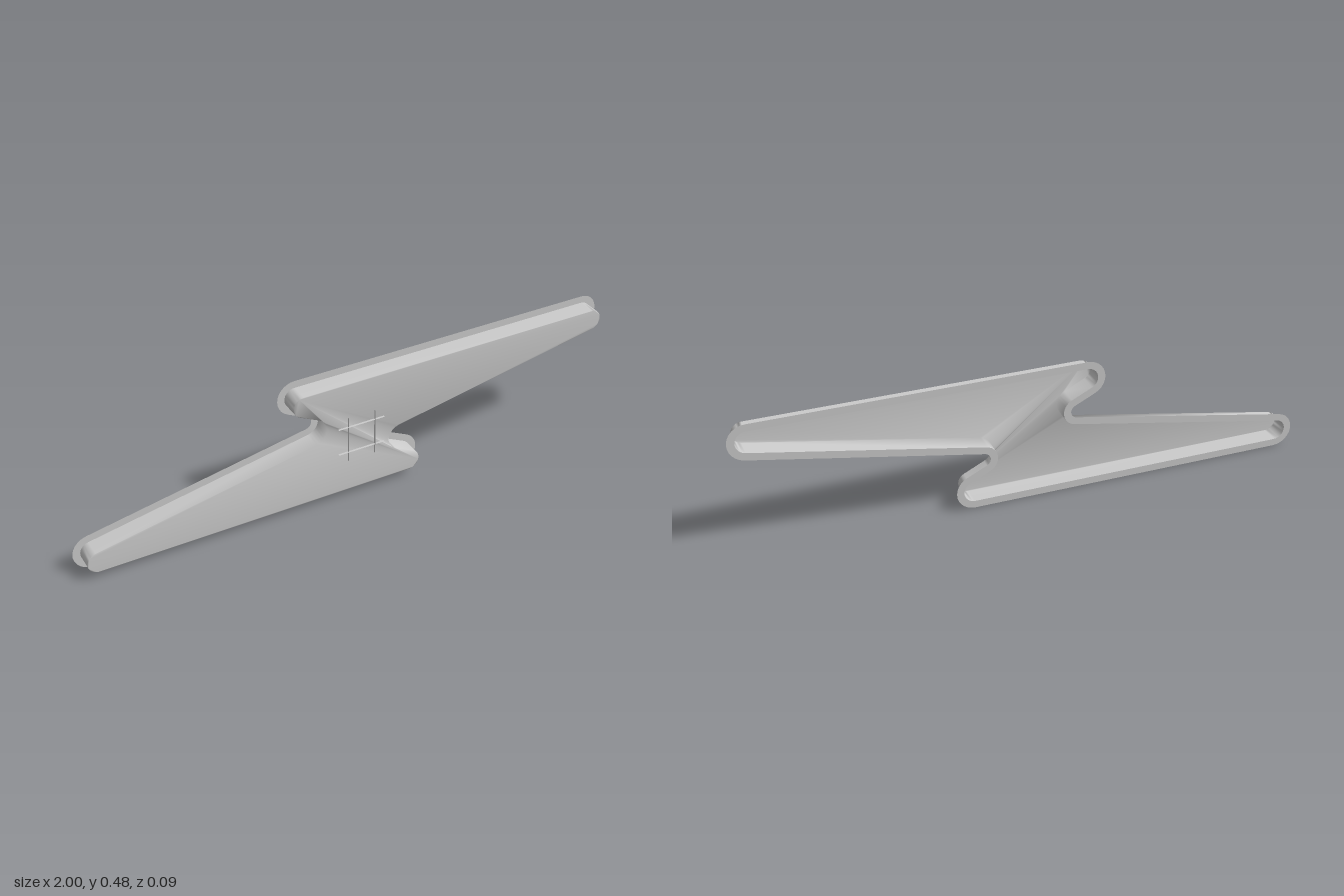
import * as THREE from 'three';

const CENTRE_Y = 0.24, BACK = -0.046, FRONT = 0.02, RIM = 0.026;

// Half of the bolt as directed circles [x, y, radius]; a negative radius is a concave notch.
const half = [
  [0.2, -0.174, 0.038],    // blunt lobe
  [0.167, -0.06, -0.05],   // notch
  [0.935, 0.176, 0.038],   // pointed tip
];
// The other half is the same turned by 180 degrees.
const circles = [...half, ...half.map(([x, y, r]) => [-x, -y, r])];

// Outline that runs around the circles like a belt, grown outwards by offset.
function outline(offset) {
  const n = circles.length, steps = 12, points = [];
  const heading = circles.map(([x, y, r], i) => {
    const [x2, y2, r2] = circles[(i + 1) % n];
    const dx = x2 - x, dy = y2 - y;
    return Math.atan2(dy, dx) - Math.asin((r2 - r) / Math.hypot(dx, dy));
  });
  circles.forEach(([x, y, r], i) => {
    const start = heading[(i + n - 1) % n];
    const full = Math.PI * 2;
    let turn = (((heading[i] - start) % full) + full) % full;
    if (r < 0) turn -= full;
    for (let k = 0; k <= steps; k++) {
      const a = start + turn * k / steps, s = r + offset;
      points.push(new THREE.Vector2(x + s * Math.sin(a), y - s * Math.cos(a)));
    }
  });
  return points;
}

// Open-backed shell: side wall and flat front sharing their vertices for soft shading.
function shellGeometry(points) {
  const n = points.length, position = [], index = [];
  for (const z of [BACK, FRONT]) for (const p of points) position.push(p.x, p.y, z);
  for (let i = 0; i < n; i++) {
    const j = (i + 1) % n;
    index.push(i, j, n + j, i, n + j, n + i);
  }
  for (const [a, b, c] of THREE.ShapeUtils.triangulateShape(points, [])) {
    index.push(n + a, n + b, n + c);
  }
  const geometry = new THREE.BufferGeometry();
  geometry.setAttribute('position', new THREE.Float32BufferAttribute(position, 3));
  geometry.setIndex(index);
  geometry.computeVertexNormals();
  return geometry;
}

export function createModel() {
  const group = new THREE.Group();
  group.name = 'boltShell';
  const material = new THREE.MeshStandardMaterial({ color: 0xcccccc, side: THREE.DoubleSide });
  const add = (name, geometry, parent = group) => {
    const mesh = new THREE.Mesh(geometry, material);
    mesh.name = name;
    parent.add(mesh);
    return mesh;
  };

  // Hollow body
  const inner = outline(0);
  add('body', shellGeometry(inner)).position.y = CENTRE_Y;

  // Flat rim around the open back
  const rimShape = new THREE.Shape(outline(RIM));
  rimShape.holes.push(new THREE.Path(inner));
  add('rim', new THREE.ShapeGeometry(rimShape)).position.set(0, CENTRE_Y, BACK);

  // Crossed thin strips standing on edge in front of the body
  const grid = new THREE.Group();
  grid.name = 'frontGrid';
  grid.position.set(0, 0.25, 0.042);
  group.add(grid);
  for (const side of [-1, 1]) {
    const upright = add('uprightStrip', new THREE.PlaneGeometry(0.008, 0.172), grid);
    upright.rotation.y = Math.PI / 2;
    upright.position.x = side * 0.05;
    const level = add('levelStrip', new THREE.PlaneGeometry(0.172, 0.008), grid);
    level.rotation.x = -Math.PI / 2;
    level.position.y = side * 0.05;
  }
  return group;
}
